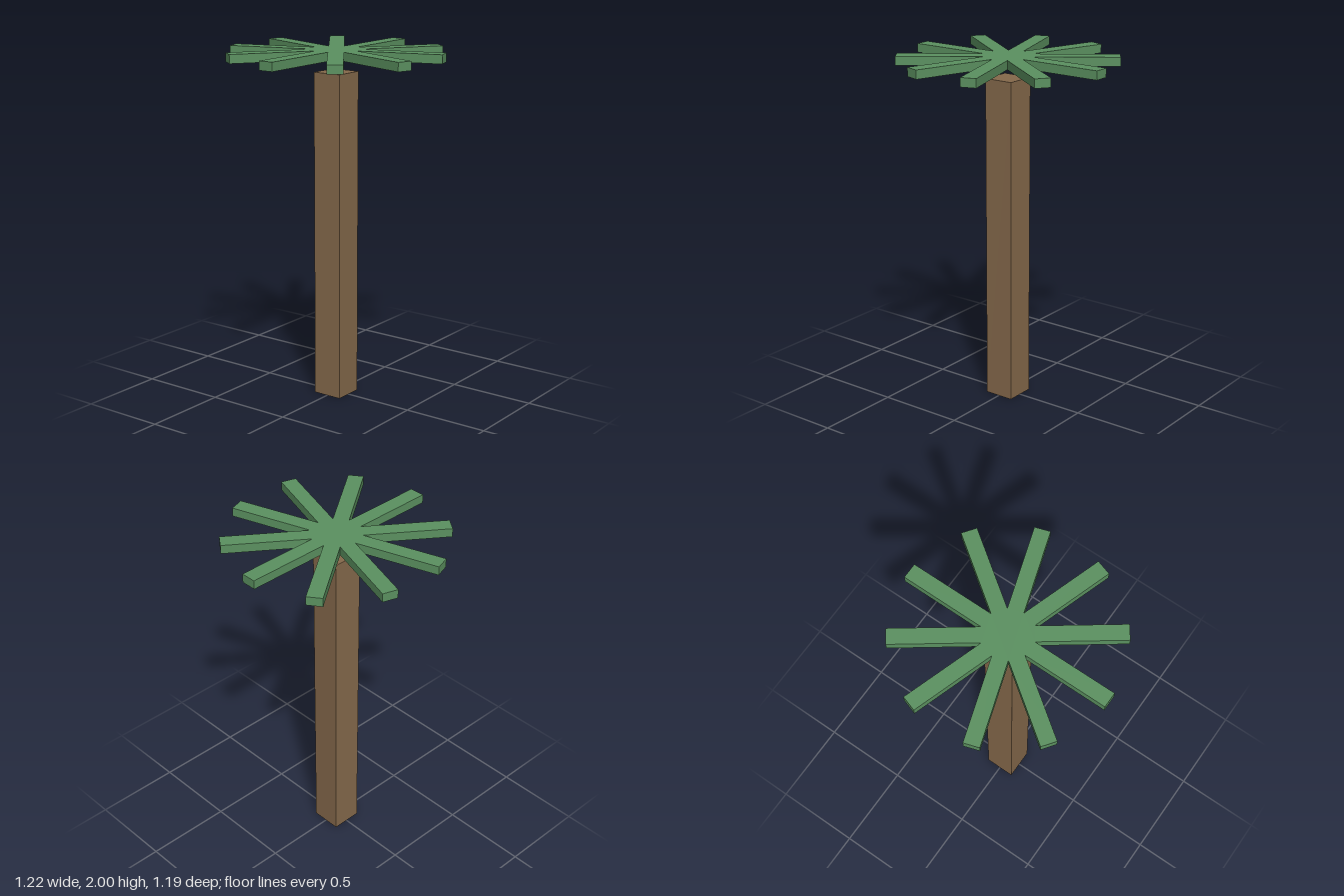
import * as THREE from 'three';

const TRUNK_WIDTH = 0.175, TRUNK_HEIGHT = 1.875;
const FRONDS = 10, FROND_LENGTH = 0.612, FROND_HALF_WIDTH = 0.0437, FROND_THICKNESS = 0.05;

// Star outline: two tip corners per frond, then the notch before the next one
function crownShape() {
  const points = [];
  const step = (Math.PI * 2) / FRONDS;
  const notch = FROND_HALF_WIDTH / Math.tan(step / 2);
  for (let i = 0; i < FRONDS; i++) {
    for (const [along, across] of [[FROND_LENGTH, -1], [FROND_LENGTH, 1], [notch, 1]]) {
      points.push(new THREE.Vector2(along, across * FROND_HALF_WIDTH).rotateAround(new THREE.Vector2(), i * step));
    }
  }
  return new THREE.Shape(points);
}

export function createModel() {
  const tree = new THREE.Group();
  tree.name = 'palmTree';

  // Square trunk
  const trunk = new THREE.Mesh(
    new THREE.BoxGeometry(TRUNK_WIDTH, TRUNK_HEIGHT, TRUNK_WIDTH),
    new THREE.MeshStandardMaterial({ color: 0x85694b })
  );
  trunk.name = 'trunk';
  trunk.position.y = TRUNK_HEIGHT / 2;
  tree.add(trunk);

  // Flat crown of fronds, floating just above the trunk
  const crownGeometry = new THREE.ExtrudeGeometry(crownShape(), { depth: FROND_THICKNESS, bevelEnabled: false });
  crownGeometry.rotateX(-Math.PI / 2);
  const crown = new THREE.Mesh(crownGeometry, new THREE.MeshStandardMaterial({ color: 0x5b9160 }));
  crown.name = 'fronds';
  crown.position.y = 2 - FROND_THICKNESS;
  tree.add(crown);

  return tree;
}
